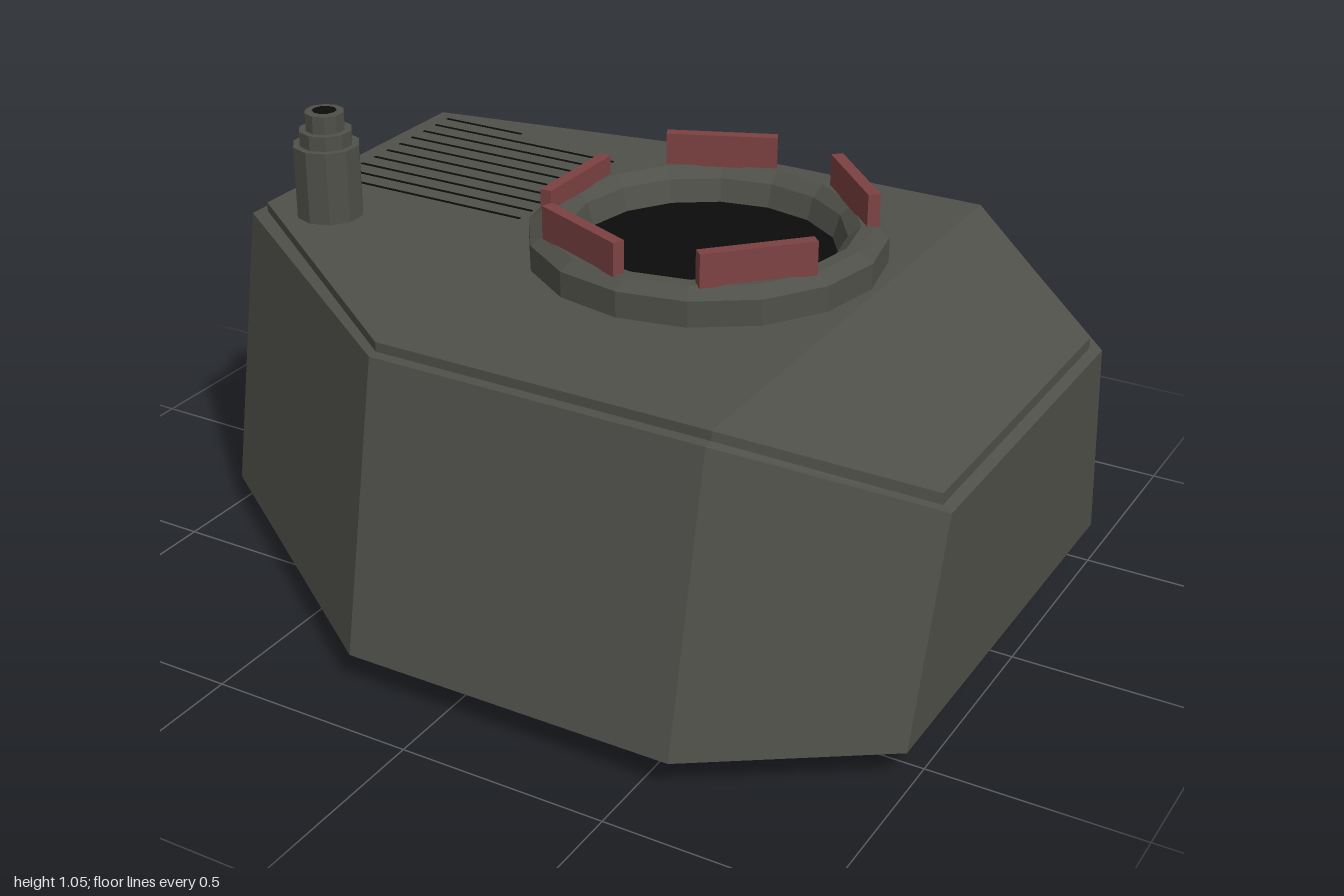
import * as THREE from 'three';

export function createModel() {
  const root = new THREE.Group();
  const mat = (name, color) => {
    const m = new THREE.MeshStandardMaterial({ color, side: THREE.DoubleSide });
    m.name = name;
    return m;
  };
  const armour = mat('dark olive grey', 0x50504a);
  const red = mat('dull red', 0x7d4242);
  const black = mat('black', 0x0c0c0c);

  const add = (name, geometry, material, x = 0, y = 0, z = 0, parent = root) => {
    const mesh = new THREE.Mesh(geometry, material);
    mesh.name = name;
    mesh.position.set(x, y, z);
    parent.add(mesh);
    return mesh;
  };
  const flat = (geometry) => {
    const g = geometry.index ? geometry.toNonIndexed() : geometry;
    g.computeVertexNormals();
    return g;
  };
  const lathe = (points, sides) =>
    flat(new THREE.LatheGeometry(points.map(([r, y]) => new THREE.Vector2(r, y)), sides));

  // Eight-cornered outlines, counter-clockwise from above: [x, y, z]
  const foot = [[-0.25, 0.85], [0.57, 0.85], [0.985, 0.565], [0.985, -0.545],
    [0.57, -0.855], [-0.34, -0.855], [-0.99, -0.745], [-0.99, 0.315]].map(([x, z]) => [x, 0.075, z]);
  const roofY = (x, top, front) => (x > 0.9 ? front : top);
  const rim = [[-0.26, 0.705], [0.57, 0.705], [1, 0.44], [1, -0.45],
    [0.57, -0.75], [-0.34, -0.75], [-1, -0.645], [-1, 0.18]].map(([x, z]) => [x, roofY(x, 0.755, 0.595), z]);
  const inset = [[-0.26, 0.68], [0.57, 0.68], [0.975, 0.43], [0.975, -0.43],
    [0.57, -0.722], [-0.33, -0.722], [-0.972, -0.615], [-0.972, 0.155]];
  const lipBase = inset.map(([x, z]) => [x, roofY(x, 0.757, 0.603), z]);
  const lipTop = inset.map(([x, z]) => [x, roofY(x, 0.78, 0.63), z]);

  const facets = (polygons) => {
    const pos = [];
    for (const p of polygons)
      for (let i = 1; i < p.length - 1; i++) pos.push(...p[0], ...p[i], ...p[i + 1]);
    const g = new THREE.BufferGeometry();
    g.setAttribute('position', new THREE.Float32BufferAttribute(pos, 3));
    g.computeVertexNormals();
    return g;
  };
  const band = (low, high) => low.map((p, i) => {
    const j = (i + 1) % low.length;
    return [p, low[j], high[j], high[i]];
  });

  // Sloped hollow walls and roof plate with its raised lip
  add('turretWalls', facets(band(foot, rim)), armour);
  add('roofPlate', facets([
    ...band(rim, lipBase), ...band(lipBase, lipTop),
    [0, 1, 4, 5, 6, 7].map((i) => lipTop[i]),
    [1, 2, 3, 4].map((i) => lipTop[i]),
  ]), armour);

  // Floor with a round opening
  const floor = new THREE.Shape(foot.map(([x, , z]) => new THREE.Vector2(x, -z)));
  floor.holes.push(new THREE.Path().absarc(0.155, 0, 0.665, 0, Math.PI * 2, true));
  add('floorPlate', new THREE.ShapeGeometry(floor, 16).rotateX(-Math.PI / 2), armour, 0, 0.075, 0);

  // Bearing ring under the floor
  add('bearingRing', lathe([[0.665, 0.08], [0.665, 0], [0.705, 0], [0.705, 0.075]], 32), armour, 0.155, 0, 0);

  // Commander's hatch: bevelled ring, dark opening and five vision blocks
  const hatch = new THREE.Group();
  hatch.name = 'hatch';
  hatch.position.set(0.126, 0, -0.118);
  root.add(hatch);
  add('hatchRing', lathe([[0.427, 0.77], [0.427, 0.843], [0.392, 0.866], [0.36, 0.866],
    [0.33, 0.84], [0.312, 0.78]], 16), armour, 0, 0, 0, hatch);
  add('hatchOpening', new THREE.CircleGeometry(0.318, 32).rotateX(-Math.PI / 2), black, 0, 0.784, 0, hatch);
  for (const degrees of [-113, -44, 44, 113, 180]) {
    const a = THREE.MathUtils.degToRad(degrees);
    const rear = degrees === 180;
    const h = rear ? 0.05 : 0.082;
    const block = add('visionBlock', new THREE.BoxGeometry(0.03, h, 0.275), red,
      0.362 * Math.cos(a), 0.863 + h / 2, -0.362 * Math.sin(a), hatch);
    block.rotation.y = a;
  }

  // Stepped aerial mount
  const aerial = new THREE.Group();
  aerial.name = 'aerialMount';
  aerial.position.set(-0.795, 0, 0.13);
  root.add(aerial);
  for (const [r, y0, y1] of [[0.083, 0.77, 0.963], [0.066, 0.963, 1.0], [0.049, 1.0, 1.045]])
    add('aerialStep', flat(new THREE.CylinderGeometry(r, r, y1 - y0, 10)), armour, 0, (y0 + y1) / 2, 0, aerial);
  add('aerialSocket', new THREE.CircleGeometry(0.03, 10).rotateX(-Math.PI / 2), black, 0, 1.047, 0, aerial);

  // Thin ventilation slits on the rear roof
  for (let i = 0; i < 10; i++) {
    const length = i === 0 ? 0.24 : 0.56;
    add('ventSlit', new THREE.BoxGeometry(length, 0.002, 0.007), black,
      -0.93 + length / 2, 0.781, -0.575 + i * 0.056);
  }
  return root;
}
